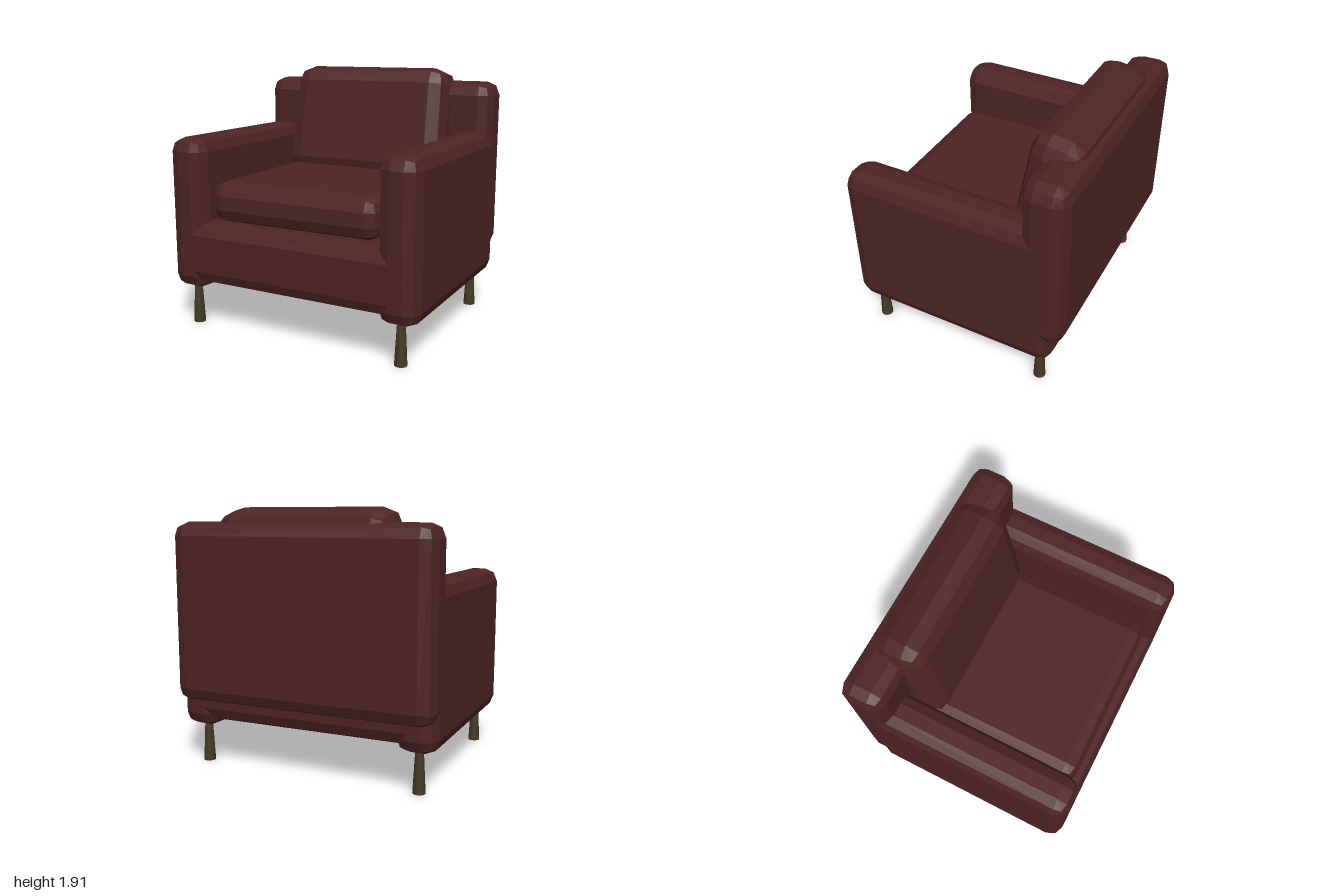
import * as THREE from 'three';
import { RoundedBoxGeometry } from 'three/addons/geometries/RoundedBoxGeometry.js';

export function createModel() {
  const group = new THREE.Group();
  const leather = new THREE.MeshStandardMaterial({ color: 0x4e2424 });
  leather.name = 'darkRedLeather';
  const wood = new THREE.MeshStandardMaterial({ color: 0x443b25 });
  wood.name = 'darkOliveWood';

  const add = (name, geometry, material, x, y, z) => {
    const mesh = new THREE.Mesh(geometry, material);
    mesh.name = name;
    mesh.position.set(x, y, z);
    group.add(mesh);
    return mesh;
  };

  // Two-step bevelled block with faceted shading
  const block = (w, h, d, r) => {
    const g = new RoundedBoxGeometry(w, h, d, 1, r);
    g.computeVertexNormals();
    return g;
  };

  // Frame: base and backrest
  add('seatBase', block(2, 0.475, 1.62, 0.1), leather, 0, 0.578, 0.04);
  add('backrest', block(2, 1.32, 0.33, 0.1), leather, 0, 1.15, -0.685);

  // Seat cushion, sitting very slightly askew
  const seat = add('seatCushion', block(1.36, 0.305, 1.27, 0.1), leather, -0.005, 0.965, 0.14);
  seat.rotation.y = 0.01;

  // Back cushion: leans back and narrows a little towards the top
  const cushion = block(1.38, 0.9, 0.4, 0.13);
  const p = cushion.attributes.position;
  for (let i = 0; i < p.count; i++) p.setX(i, p.getX(i) * (1 - 0.035 * (p.getY(i) / 0.9 + 0.5)));
  cushion.computeVertexNormals();
  const back = add('backCushion', cushion, leather, 0, 1.457, -0.539);
  back.rotation.x = -0.183;

  // Arms and splayed legs on both sides
  for (const [side, s] of [['left', 1], ['right', -1]]) {
    add(side + 'Arm', block(0.3, 1.14, 1.62, 0.1), leather, s * 0.85, 0.86, 0.04);
    for (const [end, z] of [['Front', 0.73], ['Back', -0.64]]) {
      add(side + end + 'Leg', new THREE.CylinderGeometry(0.028, 0.045, 0.32, 16), wood, s * 0.85, 0.16, z);
    }
  }
  return group;
}
